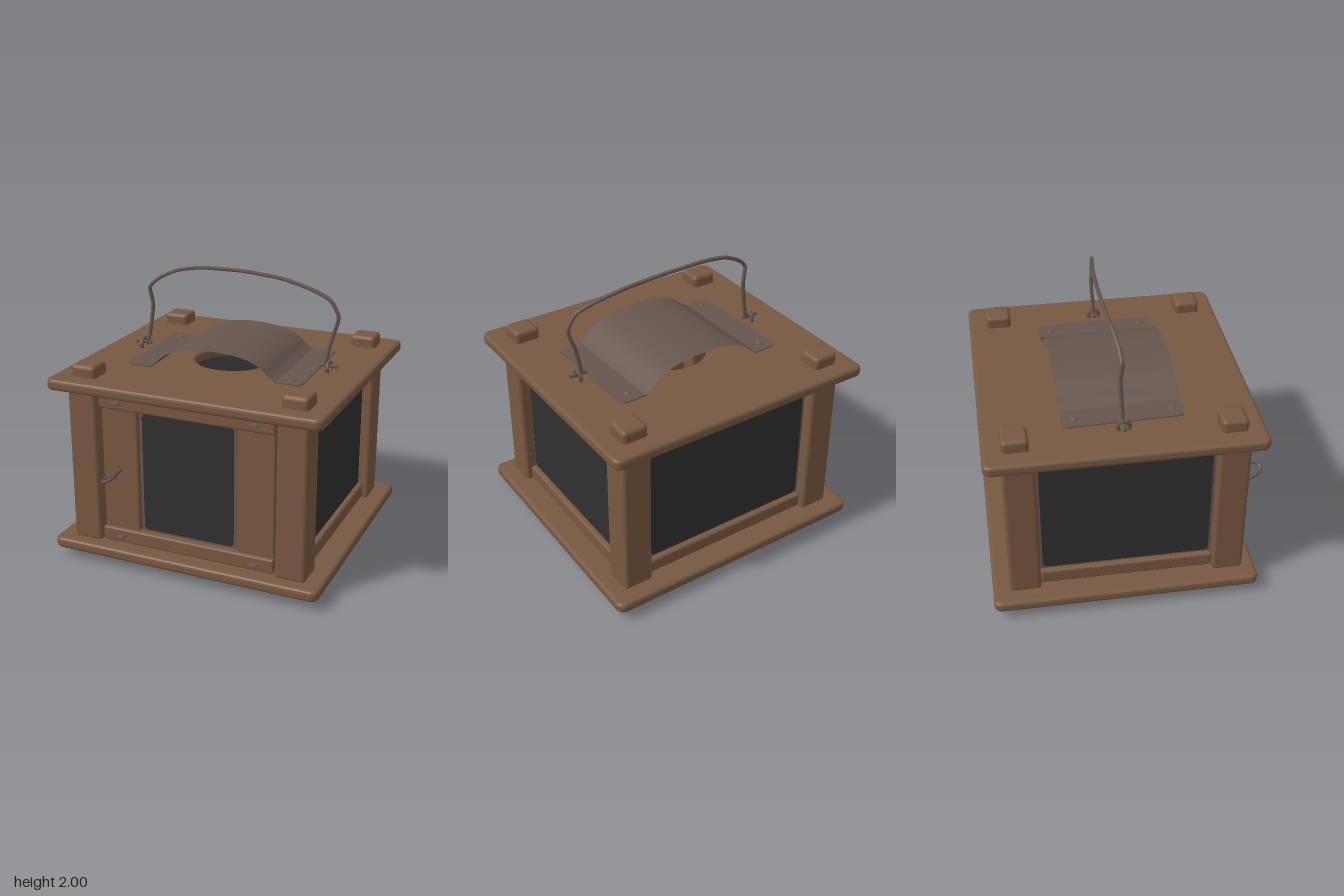
import * as THREE from 'three';
import { RoundedBoxGeometry } from 'three/addons/geometries/RoundedBoxGeometry.js';

const mat = (name, color, side = THREE.FrontSide) => {
  const m = new THREE.MeshStandardMaterial({ color, side });
  m.name = name;
  return m;
};

export function createModel() {
  const wood = mat('wood', 0x775840);
  const metal = mat('metal', 0x65564e);
  const sheet = mat('sheetMetal', 0x65564e, THREE.DoubleSide);
  const glass = mat('darkPane', 0x303030);
  const root = new THREE.Group();
  root.name = 'lantern';
  const midZ = -0.05;

  const add = (parent, name, geo, material, x = 0, y = 0, z = 0) => {
    const m = new THREE.Mesh(geo, material);
    m.name = name;
    m.position.set(x, y, z);
    parent.add(m);
    return m;
  };
  // Rounded box given by its lower and upper corners
  const block = (parent, name, a, b, material, r = 0.015) => {
    const s = a.map((v, i) => b[i] - v);
    return add(parent, name, new RoundedBoxGeometry(s[0], s[1], s[2], 2, r), material,
      (a[0] + b[0]) / 2, (a[1] + b[1]) / 2, (a[2] + b[2]) / 2);
  };
  const roundRect = (w, h, r) => {
    const s = new THREE.Shape(), x = w / 2, y = h / 2;
    s.absarc(x - r, y - r, r, 0, Math.PI / 2);
    s.absarc(r - x, y - r, r, Math.PI / 2, Math.PI);
    s.absarc(r - x, r - y, r, Math.PI, Math.PI * 1.5);
    s.absarc(x - r, r - y, r, Math.PI * 1.5, Math.PI * 2);
    s.closePath();
    return s;
  };

  // Base and roof boards; the roof has a round smoke hole
  const board = (name, y, hole) => {
    const bevel = 0.025;
    const s = roundRect(2 - bevel * 2, 1.875 - bevel * 2, 0.03);
    if (hole) {
      const h = new THREE.Path();
      h.absarc(0, 0, 0.27 + bevel, 0, Math.PI * 2, true);
      s.holes.push(h);
    }
    const g = new THREE.ExtrudeGeometry(s, {
      depth: 0.08 - bevel * 2, bevelEnabled: true, bevelSize: bevel,
      bevelThickness: bevel, bevelSegments: 3, curveSegments: 24,
    });
    g.rotateX(-Math.PI / 2);
    add(root, name, g, wood, 0, y + bevel, -0.0625);
  };
  board('baseBoard', 0.07, false);
  board('roofBoard', 1.275, true);

  // Corner posts with tenons through both boards
  for (const sx of [-1, 1]) for (const sz of [-1, 1]) {
    const x = sx * 0.772, z = midZ + sz * 0.72;
    block(root, 'cornerPost', [x - 0.108, 0.14, z - 0.11], [x + 0.108, 1.285, z + 0.11], wood, 0.025);
    const pz = -0.06 + sz * 0.72;
    block(root, 'topTenon', [x - 0.094, 1.3, pz - 0.09], [x + 0.094, 1.44, pz + 0.09], wood, 0.03);
    block(root, 'foot', [x - 0.094, 0, pz - 0.09], [x + 0.094, 0.1, pz + 0.09], wood, 0.03);
  }

  // Pane with a narrow metal rim, set in the plane z = d
  const pane = (parent, w, y0, y1, d) => {
    block(parent, 'paneRim', [-w / 2 - 0.025, y0 - 0.02, d - 0.03], [w / 2 + 0.025, y1 + 0.02, d], metal, 0.008);
    const g = new THREE.ExtrudeGeometry(roundRect(w, y1 - y0, 0.03), { depth: 0.006, bevelEnabled: false });
    add(parent, 'pane', g, glass, 0, (y0 + y1) / 2, d);
    const inner = add(parent, 'innerPane', g, glass, 0, (y0 + y1) / 2, d - 0.036);
    inner.name = 'innerPane';
  };

  // Two side walls and the back wall
  const wall = (name, w, d, turn) => {
    const g = new THREE.Group();
    g.name = name;
    g.position.z = midZ;
    g.rotation.y = turn;
    root.add(g);
    pane(g, w - 0.05, 0.28, 1.15, d);
    for (const [y0, y1] of [[0.155, 0.265], [1.165, 1.27]])
      block(g, 'wallRail', [-w / 2, y0, d - 0.06], [w / 2, y1, d + 0.04], wood, 0.02);
  };
  wall('rightWall', 1.23, 0.8, Math.PI / 2);
  wall('leftWall', 1.23, 0.8, -Math.PI / 2);
  wall('backWall', 1.33, 0.75, Math.PI);

  // Front door: rails, stiles, pane and wooden-rail pins
  const door = new THREE.Group();
  door.name = 'door';
  root.add(door);
  pane(door, 0.68, 0.275, 1.145, 0.71);
  for (const sx of [-1, 1]) {
    const a = sx < 0 ? -0.645 : 0.37;
    block(door, 'doorStile', [a, 0.25, 0.65], [a + 0.275, 1.17, 0.735], wood);
  }
  for (const [y0, y1, py] of [[0.155, 0.26, 0.208], [1.16, 1.27, 1.218]]) {
    block(door, 'doorRail', [-0.65, y0, 0.65], [0.65, y1, 0.765], wood);
    for (const px of [-0.5, 0.515]) {
      const pin = add(door, 'hingePin', new THREE.CylinderGeometry(0.03, 0.03, 0.06, 10), metal, px, py, 0.79);
      pin.rotation.x = Math.PI / 2;
      pin.scale.z = 0.4;
    }
  }

  // Pull ring: flattened loop on a short stem
  const pull = new THREE.Group();
  pull.name = 'pullRing';
  pull.position.set(-0.505, 0.713, 0);
  pull.rotation.z = 0.5;
  root.add(pull);
  const ring = add(pull, 'ringLoop', new THREE.TorusGeometry(0.085, 0.014, 6, 16), metal, 0, 0, 0.9);
  ring.rotation.set(Math.PI / 2, 0.45, 0, 'ZYX');
  ring.scale.x = 0.6;
  const stem = add(pull, 'ringStem', new THREE.CylinderGeometry(0.014, 0.014, 0.1, 6), metal, 0, 0, 0.77);
  stem.rotation.x = Math.PI / 2;

  // Bent sheet hood over the smoke hole, with flat riveted tabs
  const hood = new THREE.Group();
  hood.name = 'hood';
  hood.position.set(0, 0, -0.06);
  hood.rotation.y = 0.03;
  root.add(hood);
  const arch = new THREE.CatmullRomCurve3([
    [-0.47, 1.366], [-0.42, 1.395], [-0.36, 1.448], [-0.27, 1.492], [-0.14, 1.518], [0, 1.526],
    [0.14, 1.518], [0.27, 1.492], [0.36, 1.448], [0.42, 1.395], [0.47, 1.366],
  ].map(([x, y]) => new THREE.Vector3(x, y, 0)));
  const pts = arch.getPoints(30);
  const strip = new THREE.PlaneGeometry(1, 0.83, 30, 1);
  strip.rotateX(-Math.PI / 2);
  const p = strip.attributes.position;
  for (let i = 0; i < p.count; i++) {
    const q = pts[Math.round((p.getX(i) + 0.5) * 30)];
    p.setXY(i, q.x, q.y);
  }
  strip.computeVertexNormals();
  add(hood, 'hoodArch', strip, sheet);
  for (const s of [-1, 1]) {
    const tab = new THREE.Shape();
    tab.moveTo(0.46, -0.415);
    tab.lineTo(0.6, -0.415);
    tab.quadraticCurveTo(0.65, -0.415, 0.65, -0.365);
    tab.lineTo(0.65, 0.365);
    tab.quadraticCurveTo(0.65, 0.415, 0.6, 0.415);
    tab.lineTo(0.46, 0.415);
    const g = new THREE.ExtrudeGeometry(tab, { depth: 0.008, bevelEnabled: false });
    g.rotateX(-Math.PI / 2);
    const t = add(hood, 'hoodTab', g, metal, 0, 1.358, 0);
    t.rotation.y = s < 0 ? Math.PI : 0;
    for (const z of [-0.33, 0.34]) {
      const rivet = add(hood, 'rivet', new THREE.SphereGeometry(0.024, 10, 6), wood, s * 0.56, 1.366, z);
      rivet.scale.y = 0.4;
    }
  }

  // Bent wire handle
  const wire = new THREE.CatmullRomCurve3([
    [-0.69, 1.39, -0.06], [-0.665, 1.52, -0.065], [-0.645, 1.69, -0.07], [-0.665, 1.82, -0.06],
    [-0.58, 1.895, -0.07], [-0.45, 1.955, -0.09], [-0.27, 1.985, -0.11], [0.05, 1.988, -0.12],
    [0.35, 1.965, -0.11], [0.58, 1.915, -0.085], [0.72, 1.86, -0.065], [0.785, 1.75, -0.06],
    [0.75, 1.63, -0.07], [0.72, 1.52, -0.065], [0.695, 1.39, -0.06],
  ].map((a) => new THREE.Vector3(...a)), false, 'catmullrom', 0.25);
  add(root, 'handle', new THREE.TubeGeometry(wire, 56, 0.014, 6), metal);

  // Eyelets holding the handle ends
  for (const s of [-1, 1]) {
    const eye = add(root, 'eyelet', new THREE.TorusGeometry(0.04, 0.014, 6, 12), metal, s * 0.725, 1.38, -0.06);
    eye.rotation.y = Math.PI / 2;
    const hook = add(root, 'handleHook', new THREE.CylinderGeometry(0.013, 0.013, 0.13, 6), metal, s * 0.725, 1.395, -0.06);
    hook.rotation.z = Math.PI / 2;
  }
  return root;
}
